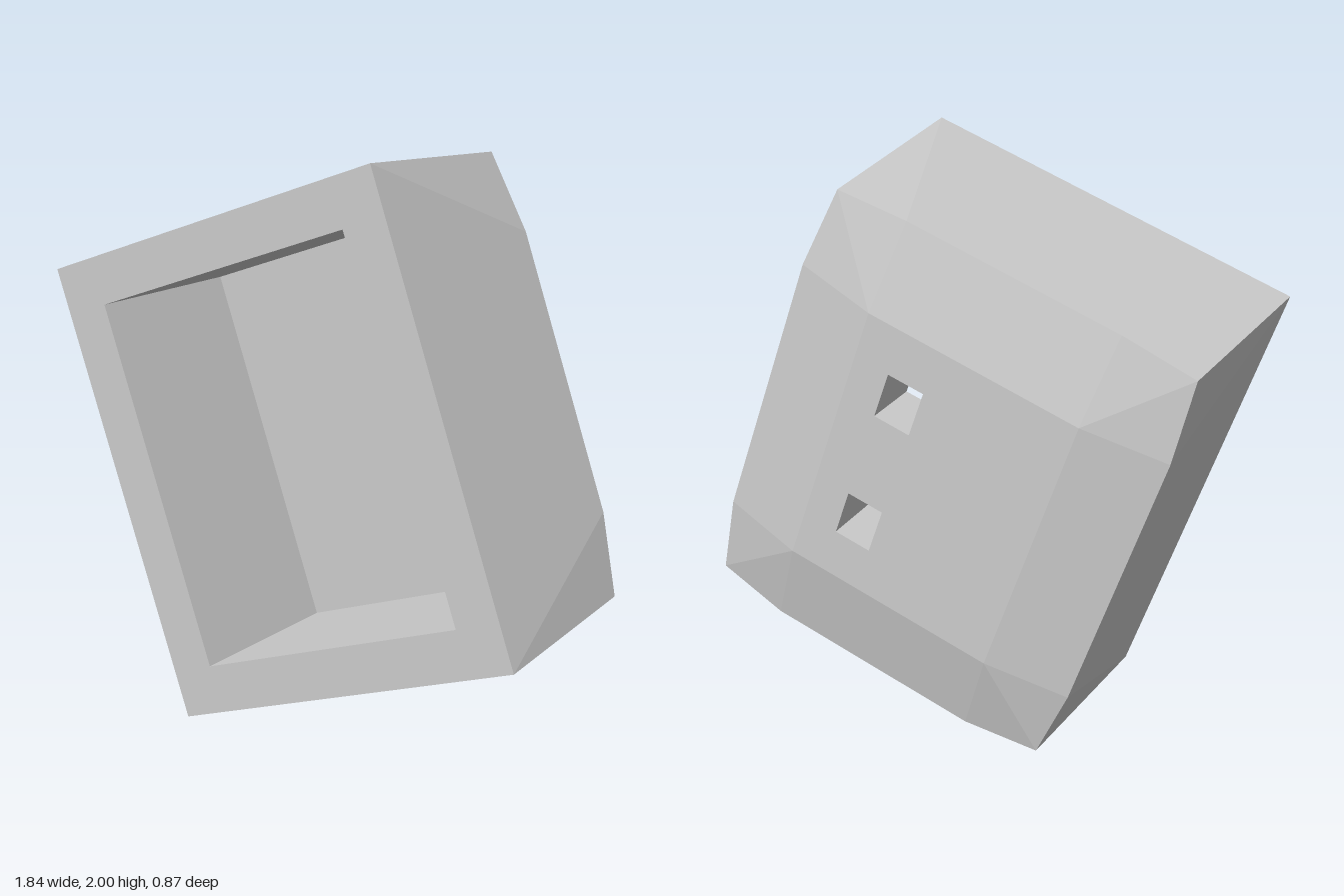
import * as THREE from 'three';

const Z = { front: 0.435, floor: -0.21, corner: -0.34, edge: -0.365, back: -0.435 };

// Rectangle corners, counter-clockwise seen from the front
const rect = (hw, hh, z, cx = 0, cy = 0) =>
  [[-1, -1], [1, -1], [1, 1], [-1, 1]].map(([a, b]) => [cx + a * hw, cy + b * hh, z]);

const toPath = (ring, Type) => new Type(ring.map(([x, y]) => new THREE.Vector2(x, y)));

function triangles(list) {
  const g = new THREE.BufferGeometry();
  g.setAttribute('position', new THREE.Float32BufferAttribute(list.flat(2), 3));
  g.computeVertexNormals();
  return g;
}

// Four-sided tube between rings; faces outward when a is in front of b
function loft(a, b) {
  const t = [];
  for (let i = 0; i < 4; i++) {
    const j = (i + 1) % 4;
    t.push([a[i], b[i], b[j]], [a[i], b[j], a[j]]);
  }
  return triangles(t);
}

// Flat plate with holes, facing the front
function plate(ring, holes) {
  const s = toPath(ring, THREE.Shape);
  s.holes = holes.map((h) => toPath(h, THREE.Path));
  return new THREE.ShapeGeometry(s).translate(0, 0, ring[0][2]);
}

export function createModel() {
  const model = new THREE.Group();
  const body = new THREE.Group();
  body.name = 'hollowBlock';
  model.add(body);
  const grey = new THREE.MeshStandardMaterial({ color: 0xcccccc, flatShading: true });
  grey.name = 'grey';
  const add = (name, geometry) => {
    const mesh = new THREE.Mesh(geometry, grey);
    mesh.name = name;
    body.add(mesh);
    return mesh;
  };

  const front = rect(0.69, 0.8175, Z.front);
  const corner = rect(0.656, 0.787, Z.corner);
  const plateau = rect(0.39, 0.496, Z.back);
  const holesAt = (z) => [-1, 1].map((s) => rect(0.067, 0.083, z, 0.194, s * 0.245));

  // Side walls bulge between the corners; bevels rise to the back plateau
  const walls = [], bevels = [];
  for (let i = 0; i < 4; i++) {
    const j = (i + 1) % 4;
    const [f0, f1, c0, c1, p0, p1] = [front[i], front[j], corner[i], corner[j], plateau[i], plateau[j]];
    const edgePoint = (p) => (i % 2 ? [Math.sign(f0[0]) * 0.687, p[1], Z.edge] : [p[0], Math.sign(f0[1]) * 0.8165, Z.edge]);
    const e0 = edgePoint(p0), e1 = edgePoint(p1);
    walls.push([f0, c0, e0], [f0, e0, e1], [f0, e1, f1], [f1, e1, c1]);
    bevels.push([c0, p0, e0], [e0, p0, p1], [e0, p1, e1], [e1, p1, c1]);
  }
  add('sideWalls', triangles(walls));
  add('backBevels', triangles(bevels));

  // Back plateau with two windows, mirrored so that it faces backwards
  const mirror = (ring) => ring.map(([x, y, z]) => [-x, y, -z]);
  add('backPlate', plate(mirror(plateau), holesAt(Z.back).map(mirror)).rotateY(Math.PI));

  // Front rim and the deep cavity behind it
  const mouth = rect(0.524, 0.651, Z.front);
  const floor = rect(0.524, 0.651, Z.floor);
  add('frontRim', plate(front, [mouth]));
  add('cavityWalls', loft(floor, mouth));
  add('cavityFloor', plate(floor, holesAt(Z.floor)));

  // Inner sides of the two windows
  holesAt(Z.back).forEach((h, i) => add('windowSides', loft(h, holesAt(Z.floor)[i])));

  // The block stands tilted on one corner
  body.rotation.z = THREE.MathUtils.degToRad(19.3);
  body.position.y = 1;
  return model;
}
